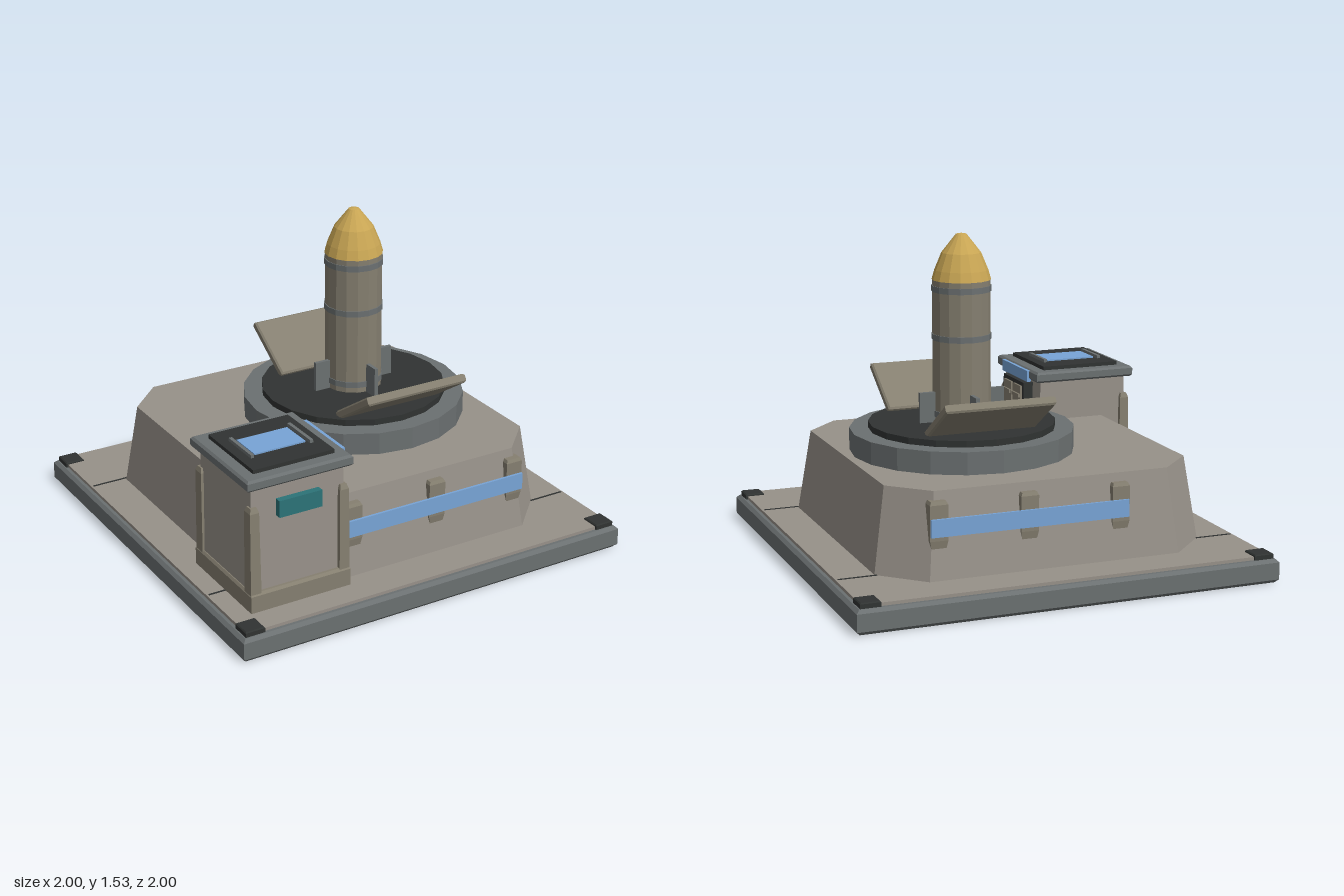
import * as THREE from 'three';
import { ConvexGeometry } from 'three/addons/geometries/ConvexGeometry.js';

const material = (color) => new THREE.MeshStandardMaterial({ color, flatShading: true });
const concrete = material(0x979189);
const beige = material(0x857f70);
const steel = material(0x6b7071);
const dark = material(0x303332);
const blue = material(0x78a4d6);
const teal = material(0x2c7378);
const gold = material(0xc9a654);

function add(parent, name, geometry, mat, x = 0, y = 0, z = 0) {
  const mesh = new THREE.Mesh(geometry, mat);
  mesh.name = name;
  mesh.position.set(x, y, z);
  parent.add(mesh);
  return mesh;
}

// Box given by its lowest and highest corner
function box(parent, name, mat, x0, x1, y0, y1, z0, z1) {
  return add(parent, name, new THREE.BoxGeometry(x1 - x0, y1 - y0, z1 - z0), mat,
    (x0 + x1) / 2, (y0 + y1) / 2, (z0 + z1) / 2);
}

// Convex block from horizontal sections [y, halfX, halfZ, cornerCut]
function block(sections) {
  const points = [];
  for (const [y, hx, hz, cut = 0] of sections) {
    for (const sx of [-1, 1]) for (const sz of [-1, 1]) {
      points.push(new THREE.Vector3(sx * hx, y, sz * (hz - cut)));
      if (cut) points.push(new THREE.Vector3(sx * (hx - cut), y, sz * hz));
    }
  }
  return new ConvexGeometry(points);
}

// Slab with bevelled top and bottom edges, standing on y = 0
const slab = (hx, hz, h, b) =>
  block([[0, hx - b, hz - b], [b, hx, hz], [h - b, hx, hz], [h, hx - b, hz - b]]);

function makeBase() {
  const g = new THREE.Group();
  g.name = 'base';
  add(g, 'foundation', slab(1, 1, 0.11, 0.015), steel);
  box(g, 'underside', dark, -0.985, 0.985, 0, 0.01, -0.985, 0.985).position.y = 0.004;
  box(g, 'deck', concrete, -0.97, 0.97, 0.1, 0.125, -0.97, 0.97);
  for (const sx of [-1, 1]) for (const sz of [-1, 1]) {
    add(g, 'cornerPad', slab(0.047, 0.047, 0.03, 0.005), dark, sx * 0.932, 0.105, sz * 0.932);
    add(g, 'deckSeam', new THREE.BoxGeometry(0.18, 0.004, 0.008), dark, sx * 0.87, 0.126, sz * 0.605);
  }
  return g;
}

function makeBunker() {
  const g = new THREE.Group();
  g.name = 'bunker';
  add(g, 'bunkerWalls', block([[0.12, 0.79, 0.785, 0.19], [0.515, 0.73, 0.73, 0.17]]), concrete);
  // Light strip with three brackets on the front and back walls
  for (const side of [-1, 1]) {
    add(g, 'lightStrip', new THREE.BoxGeometry(0.94, 0.08, 0.012), blue, 0.12, 0.36, side * 0.777);
    for (const x of [-0.315, 0.125, 0.55]) {
      add(g, 'stripBracket', block([[0.265, 0.035, 0.03], [0.3, 0.042, 0.035],
        [0.46, 0.042, 0.035], [0.475, 0.035, 0.028]]), beige, x, 0, side * 0.735);
    }
  }
  return g;
}

function makeSilo() {
  const g = new THREE.Group();
  g.name = 'silo';
  g.position.set(0.165, 0, -0.03);
  add(g, 'siloRing', new THREE.CylinderGeometry(0.528, 0.528, 0.11, 20), steel, 0, 0.565, 0);
  add(g, 'siloFloor', new THREE.CylinderGeometry(0.44, 0.44, 0.035, 20), dark, 0, 0.6325, 0);

  // Open hatch doors, hinged near the rocket and leaning outwards
  for (const side of [-1, 1]) {
    const hinge = new THREE.Group();
    hinge.name = 'hatchDoor';
    hinge.position.set(0, 0.635, 0.03 + side * 0.285);
    hinge.rotation.y = side > 0 ? 0 : Math.PI;
    const door = add(hinge, 'doorPanel', slab(0.265, 0.16, 0.042, 0.008), beige, 0, 0.083, 0.121);
    door.rotation.x = -0.58;
    g.add(hinge);
  }
  return g;
}

function makeRocket() {
  const g = new THREE.Group();
  g.name = 'rocket';
  g.position.set(0.165, 0, -0.03);
  add(g, 'rocketBody', new THREE.CylinderGeometry(0.136, 0.136, 0.67, 16), beige, 0, 0.98, 0);
  for (const y of [0.69, 1.05, 1.275]) {
    add(g, 'bodyBand', new THREE.CylinderGeometry(0.14, 0.14, 0.028, 16), steel, 0, y, 0);
  }
  const nose = [[0, 1.31], [0.138, 1.315], [0.125, 1.36], [0.092, 1.44], [0.025, 1.525], [0, 1.53]];
  add(g, 'noseCone', new THREE.LatheGeometry(nose.map(([r, y]) => new THREE.Vector2(r, y)), 16), gold);
  for (let i = 0; i < 4; i++) {
    const a = i * Math.PI / 2;
    const fin = add(g, 'fin', new THREE.BoxGeometry(0.1, 0.145, 0.018), steel,
      Math.cos(a) * 0.16, 0.72, Math.sin(a) * 0.16);
    fin.rotation.y = -a;
  }
  return g;
}

function makeTower() {
  const g = new THREE.Group();
  g.name = 'controlTower';
  g.position.set(-0.627, 0, 0.583);
  add(g, 'plinth', block([[0.12, 0.25, 0.26], [0.205, 0.25, 0.26], [0.217, 0.242, 0.25]]), beige);
  add(g, 'towerWalls', block([[0.2, 0.238, 0.238], [0.715, 0.228, 0.228]]), concrete);
  for (const sx of [-1, 1]) for (const sz of [-1, 1]) {
    add(g, 'cornerPost', block([[0.2, 0.026, 0.03], [0.6, 0.022, 0.026], [0.622, 0.015, 0.018]]),
      beige, sx * 0.222, 0, sz * 0.225);
  }
  // Roof
  add(g, 'roofCap', slab(0.26, 0.262, 0.052, 0.01), steel, 0, 0.71, 0);
  box(g, 'roofPlate', dark, -0.2, 0.2, 0.755, 0.78, -0.203, 0.203);
  box(g, 'roofPanel', blue, -0.126, 0.126, 0.775, 0.787, -0.08, 0.08);
  for (const s of [-1, 1]) {
    add(g, 'roofRail', new THREE.BoxGeometry(0.016, 0.02, 0.2), steel, s * 0.146, 0.785, 0);
  }
  // Front window
  box(g, 'frontWindow', teal, -0.107, 0.104, 0.555, 0.635, 0.225, 0.262);
  // Doorway facing the silo, with a light above it
  box(g, 'doorFrame', dark, 0.2, 0.278, 0.48, 0.69, -0.132, 0.135);
  for (const s of [-1, 1]) {
    add(g, 'doorLeaf', new THREE.BoxGeometry(0.02, 0.17, 0.1), beige, 0.278, 0.585, s * 0.06);
    add(g, 'doorRib', new THREE.BoxGeometry(0.025, 0.018, 0.09), beige, 0.284, 0.62, s * 0.06);
  }
  box(g, 'doorLight', blue, 0.25, 0.272, 0.7, 0.756, -0.16, 0.17);
  return g;
}

export function createModel() {
  const model = new THREE.Group();
  model.name = 'rocketSilo';
  model.add(makeBase(), makeBunker(), makeSilo(), makeRocket(), makeTower());
  return model;
}
